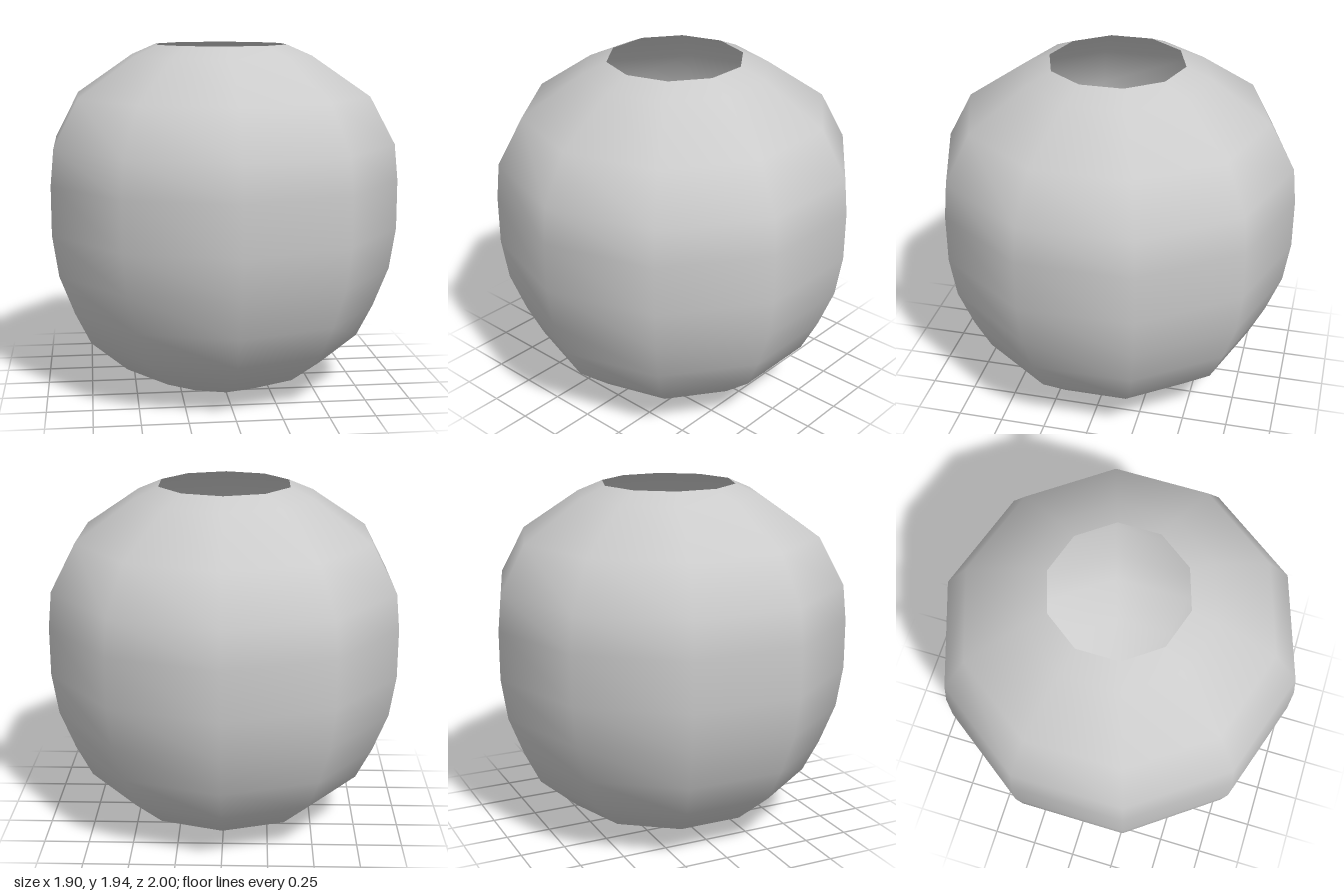
import * as THREE from 'three';

export function createModel() {
  const group = new THREE.Group();
  group.name = 'vessel';

  // Profile from the bottom opening up to the mouth: [radius, height]
  const profile = [
    [0.29, 0], [0.58, 0.12], [0.79, 0.3], [0.88, 0.48], [0.965, 0.7], [1, 0.93],
    [1, 1.2], [0.98, 1.4], [0.84, 1.66], [0.515, 1.88], [0.375, 1.94],
  ].map(([r, y]) => new THREE.Vector2(r, y));

  // Ten-sided thin open shell with smooth normals, corners on the z axis
  const body = new THREE.Mesh(
    new THREE.LatheGeometry(profile, 10),
    new THREE.MeshStandardMaterial({ color: 0xcccccc, side: THREE.DoubleSide })
  );
  body.name = 'openShell';
  group.add(body);

  return group;
}
